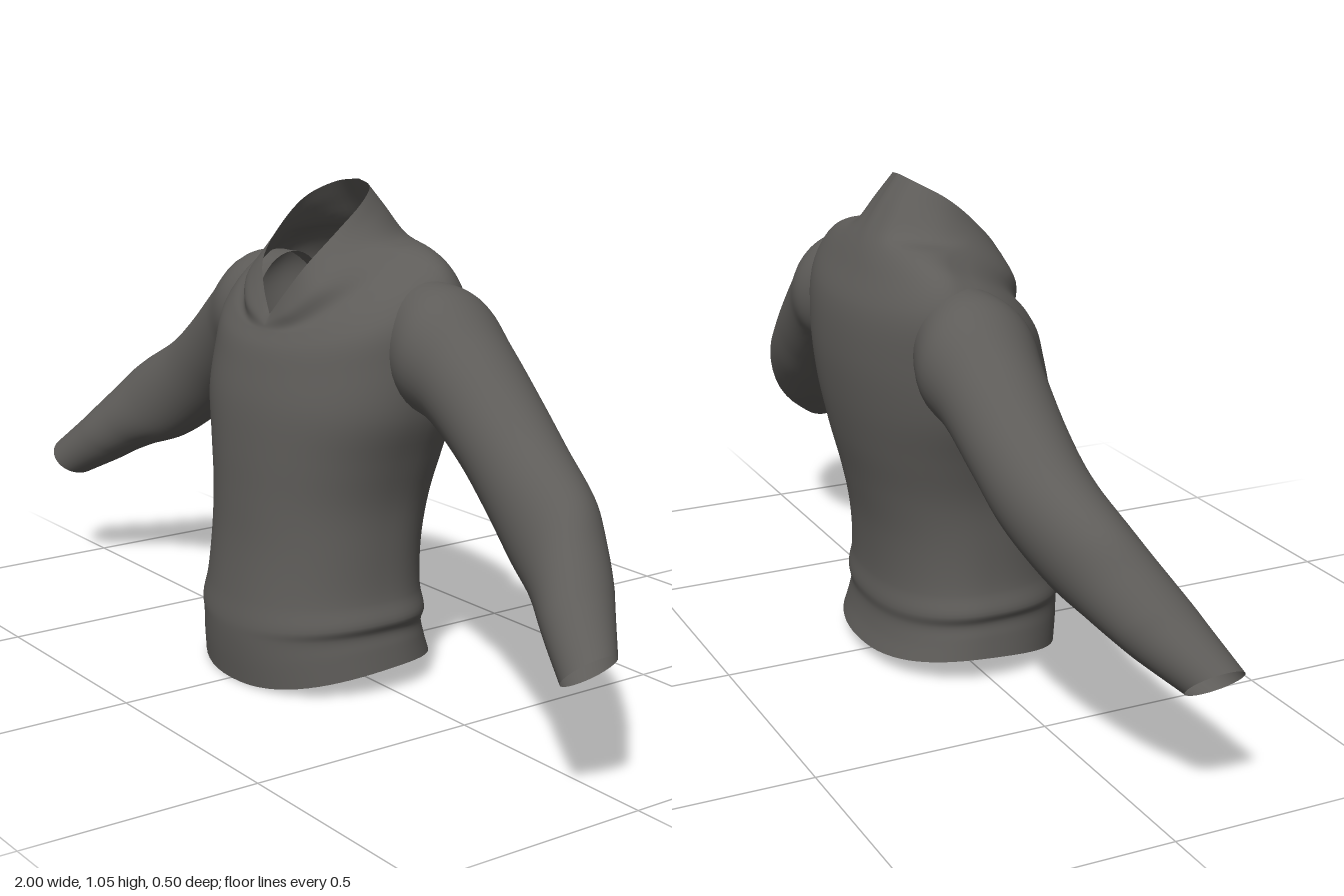
import * as THREE from 'three';

const SEG = 64;
const V = (x, y, z) => new THREE.Vector3(x, y, z);

// Smooth skin through closed key rings that share the same point count
function loft(rings, rows) {
  const n = rings[0].length, pos = [], idx = [];
  const columns = rings[0].map((_, j) => new THREE.CatmullRomCurve3(rings.map(r => r[j])));
  for (let i = 0; i <= rows; i++)
    for (const c of columns) pos.push(...c.getPoint(i / rows).toArray());
  for (let i = 0; i < rows; i++)
    for (let j = 0; j < n; j++) {
      const a = i * n + j, b = i * n + (j + 1) % n;
      idx.push(a, b, a + n, b, b + n, a + n);
    }
  const g = new THREE.BufferGeometry();
  g.setAttribute('position', new THREE.Float32BufferAttribute(pos, 3));
  g.setIndex(idx);
  g.computeVertexNormals();
  return g;
}

// Body ring: half width, heights at side/front/back, depth at front/back/side
function bodyRing([w, yS, yF, yB, zF, zB, zS]) {
  const pw = v => Math.sign(v) * Math.abs(v) ** 0.9;
  return Array.from({ length: SEG }, (_, j) => {
    const a = j / SEG * Math.PI * 2, s = pw(Math.cos(a));
    const y = yS + (yF - yB) / 2 * s + ((yF + yB) / 2 - yS) * s * s;
    return V(w * pw(Math.sin(a)), y, zS + s * (s > 0 ? zF - zS : zS - zB));
  });
}

// Neck ring: half outline from front to back, mirrored, keeping the V sharp
function neckRing(points) {
  const half = new THREE.CatmullRomCurve3(points.map(p => V(...p)));
  return Array.from({ length: SEG }, (_, j) => {
    const u = j / SEG * 2;
    const p = half.getPoint(u <= 1 ? u : 2 - u);
    if (u > 1) p.x = -p.x;
    return p;
  });
}

// Sleeve ring: top x,y, bottom x,y, front z, back z
function sleeveRing([tx, ty, bx, by, zF, zB], side) {
  return Array.from({ length: 40 }, (_, j) => {
    const a = j / 40 * Math.PI * 2, c = Math.cos(a), s = Math.sin(a);
    return V(side * ((tx + bx) / 2 + c * (tx - bx) / 2),
      (ty + by) / 2 + c * (ty - by) / 2, (zF + zB) / 2 - side * s * (zF - zB) / 2);
  });
}

export function createModel() {
  const group = new THREE.Group();
  const knit = new THREE.MeshStandardMaterial({ color: 0x5e5c59, side: THREE.DoubleSide });
  knit.name = 'charcoal knit';

  // Hem band, body and shoulders
  const body = [
    [0.27, 0.055, 0, 0.03, 0.24, -0.197, 0],
    [0.263, 0.1, 0.06, 0.07, 0.247, -0.183, 0],
    [0.258, 0.13, 0.11, 0.11, 0.25, -0.176, 0],
    [0.268, 0.155, 0.135, 0.14, 0.249, -0.18, 0],
    [0.255, 0.2, 0.19, 0.19, 0.24, -0.174, 0],
    [0.25, 0.3, 0.3, 0.3, 0.226, -0.18, 0],
    [0.255, 0.4, 0.4, 0.4, 0.22, -0.2, -0.01],
    [0.28, 0.5, 0.5, 0.5, 0.215, -0.225, -0.02],
    [0.312, 0.6, 0.6, 0.6, 0.205, -0.243, -0.03],
    [0.322, 0.72, 0.67, 0.7, 0.188, -0.25, -0.06],
    [0.32, 0.82, 0.72, 0.8, 0.172, -0.24, -0.08],
    [0.28, 0.88, 0.75, 0.87, 0.155, -0.21, -0.08],
    [0.21, 0.908, 0.758, 0.915, 0.151, -0.188, -0.06],
  ].map(bodyRing);

  // Standing collar with a V opening
  const collar = [
    [[0, 0.765, 0.148], [0.08, 0.8, 0.14], [0.135, 0.855, 0.1], [0.15, 0.925, 0],
      [0.145, 0.94, -0.08], [0.085, 0.95, -0.15], [0, 0.955, -0.165]],
    [[0, 0.775, 0.142], [0.06, 0.825, 0.13], [0.1, 0.88, 0.1], [0.118, 0.945, 0.025],
      [0.115, 0.98, -0.05], [0.07, 1.0, -0.115], [0, 1.005, -0.132]],
    [[0, 0.785, 0.135], [0.04, 0.835, 0.122], [0.078, 0.892, 0.098], [0.1, 0.965, 0.03],
      [0.098, 1.015, -0.03], [0.06, 1.045, -0.08], [0, 1.055, -0.095]],
  ].map(neckRing);

  const torso = new THREE.Mesh(loft([...body, ...collar], 75), knit);
  torso.name = 'bodyAndCollar';
  group.add(torso);

  // Sleeves from shoulder to cuff
  const sleeve = [
    [0.22, 0.875, 0.24, 0.62, 0.02, -0.17],
    [0.35, 0.862, 0.3, 0.602, 0.05, -0.2],
    [0.46, 0.78, 0.35, 0.588, 0.036, -0.186],
    [0.57, 0.685, 0.45, 0.52, 0.03, -0.172],
    [0.66, 0.615, 0.54, 0.445, 0.035, -0.155],
    [0.79, 0.535, 0.65, 0.37, 0.06, -0.118],
    [0.85, 0.47, 0.75, 0.332, 0.09, -0.083],
    [0.9, 0.415, 0.81, 0.302, 0.116, -0.05],
    [0.925, 0.388, 0.84, 0.283, 0.127, -0.028],
    [1.0, 0.315, 0.92, 0.238, 0.155, 0.037],
  ];
  for (const [side, name] of [[1, 'leftSleeve'], [-1, 'rightSleeve']]) {
    const mesh = new THREE.Mesh(loft(sleeve.map(k => sleeveRing(k, side)), 54), knit);
    mesh.name = name;
    group.add(mesh);
  }
  return group;
}
